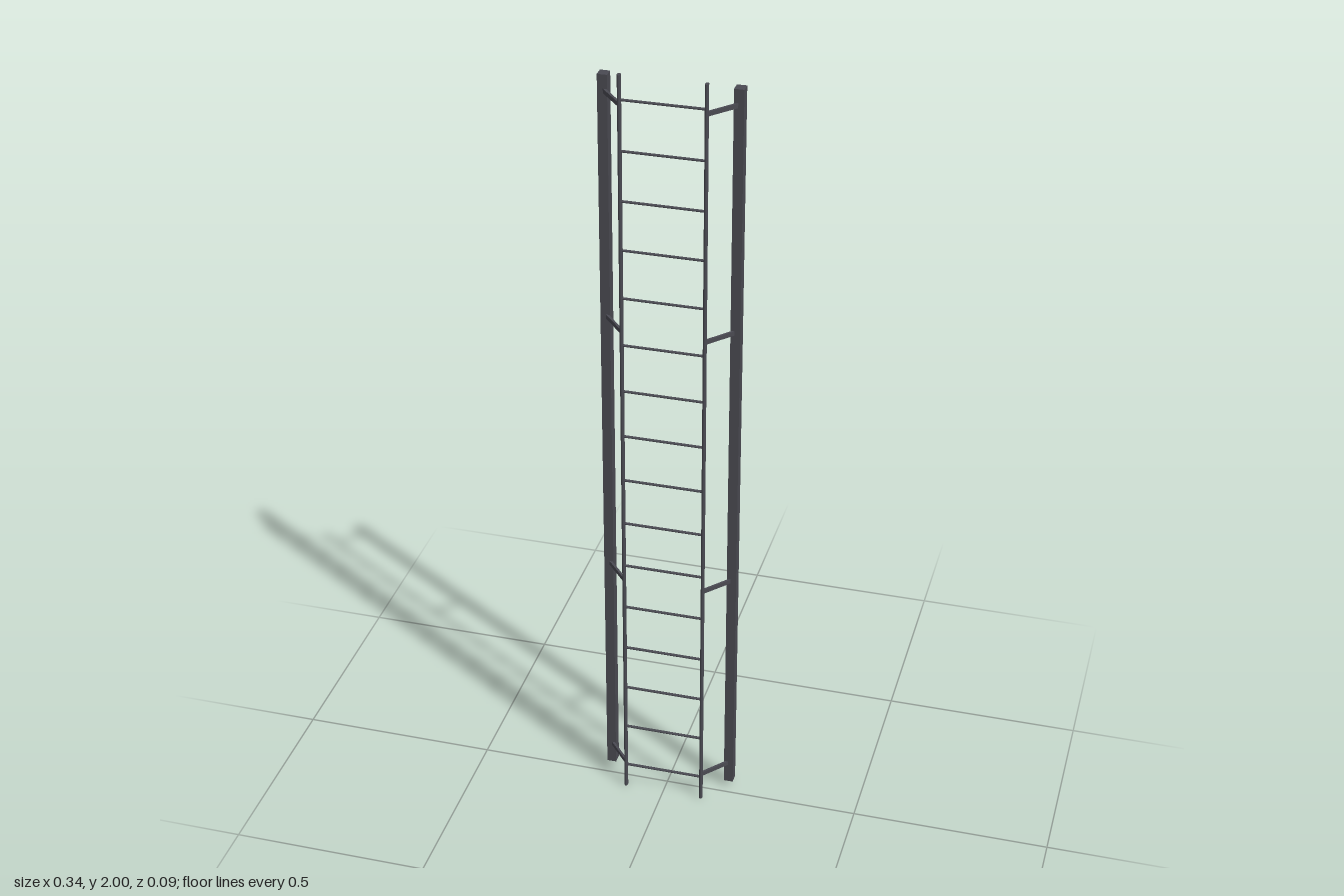
import * as THREE from 'three';

export function createModel() {
  const model = new THREE.Group();
  model.name = 'ladder';
  const steel = new THREE.MeshStandardMaterial({ color: 0x4a4a52 });
  steel.name = 'dark steel';

  const add = (name, geometry, x, y, z, parent = model) => {
    const mesh = new THREE.Mesh(geometry, steel);
    mesh.name = name;
    mesh.position.set(x, y, z);
    parent.add(mesh);
    return mesh;
  };

  const railX = 0.101, railZ = 0.039;
  const postX = 0.159, postZ = -0.035;

  // Shared geometries
  const postGeo = new THREE.BoxGeometry(0.024, 1.95, 0.026);
  const railGeo = new THREE.CylinderGeometry(1, 1, 2, 12).scale(0.0045, 1, 0.0075);
  const rungGeo = new THREE.CylinderGeometry(1, 1, railX * 2, 10).rotateZ(Math.PI / 2).scale(1, 0.003, 0.004);

  // Brackets run diagonally from each rail back to its post
  const dx = postX - 0.004 - railX, dz = postZ + 0.011 - railZ;
  const bracketGeo = new THREE.BoxGeometry(Math.hypot(dx, dz), 0.011, 0.006);

  for (const [side, s] of [['left', 1], ['right', -1]]) {
    const half = new THREE.Group();
    half.name = side + 'Side';
    model.add(half);
    add('post', postGeo, s * postX, 0.993, postZ, half);
    add('rail', railGeo, s * railX, 1, railZ, half);
    for (const y of [0.076, 0.649, 1.352, 1.928]) {
      const bracket = add('bracket', bracketGeo, s * (railX + dx / 2), y, railZ + dz / 2, half);
      bracket.rotation.y = Math.atan2(-dz, s * dx);
    }
  }

  // Evenly spaced rungs
  const rungs = new THREE.Group();
  rungs.name = 'rungs';
  model.add(rungs);
  for (let i = 0; i < 16; i++) add('rung', rungGeo, 0, 0.067 + i * 0.1248, railZ, rungs);

  return model;
}
